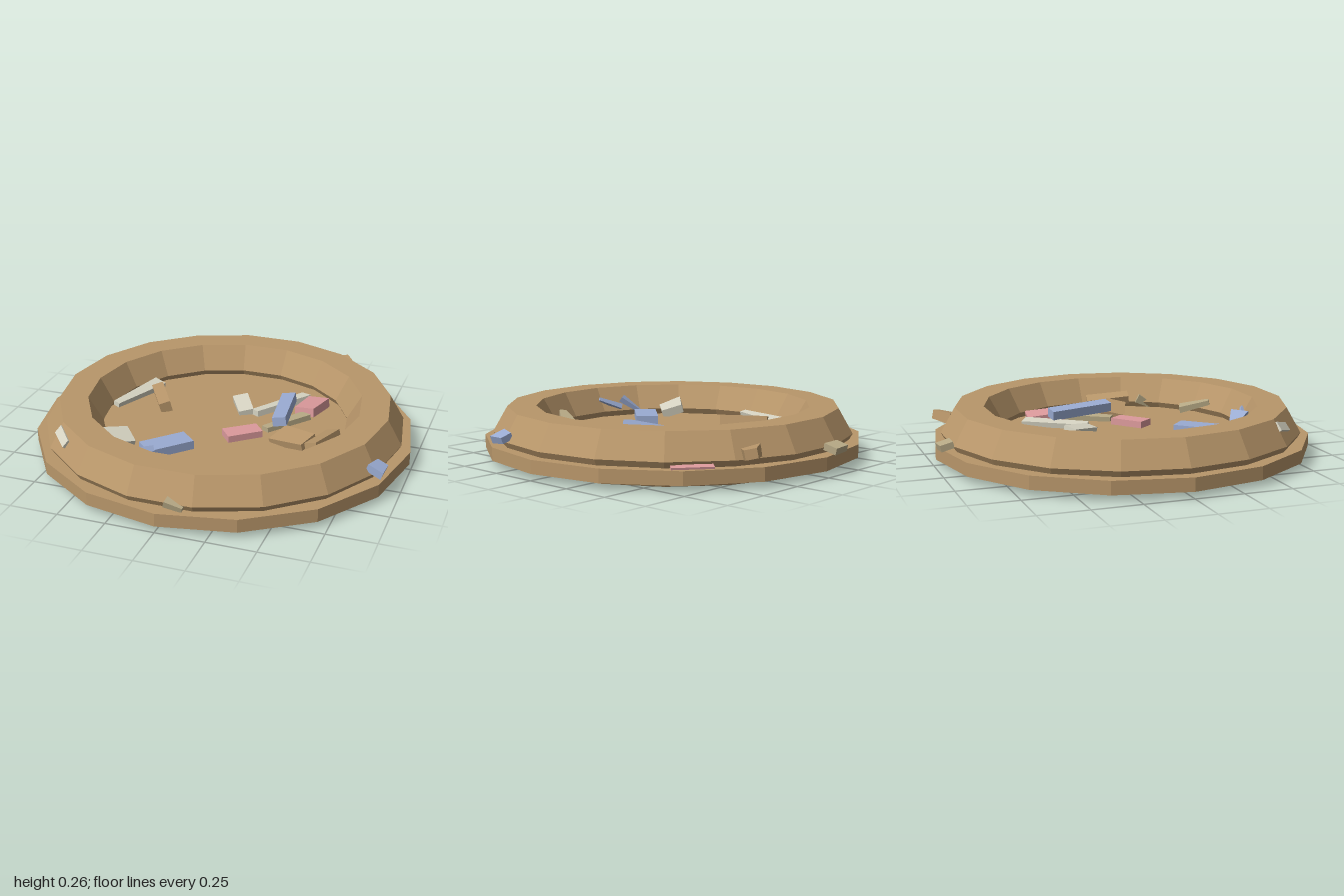
import * as THREE from 'three';

export function createModel() {
  const model = new THREE.Group();
  model.name = 'debrisRing';

  const mat = (name, color) => {
    const m = new THREE.MeshStandardMaterial({ color });
    m.name = name;
    m.flatShading = true;
    return m;
  };
  const brown = mat('brown', 0xb8966a);
  const blue = mat('blue', 0x9aabd2);
  const pink = mat('pink', 0xdc9a9c);
  const cream = mat('cream', 0xd6d3c2);
  const tan = mat('tan', 0xb8aa86);

  const add = (name, geometry, material, x, y, z) => {
    const mesh = new THREE.Mesh(geometry, material);
    mesh.name = name;
    mesh.position.set(x, y, z);
    model.add(mesh);
    return mesh;
  };

  // Floor disc, wider than the raised rim
  add('floorDisc', new THREE.CylinderGeometry(0.992, 0.992, 0.068, 16), brown, 0, 0.065, 0.004);

  // Hexagonal-section rim
  const rim = new THREE.TorusGeometry(0.795, 0.15, 6, 18);
  rim.rotateX(Math.PI / 2);
  add('rim', rim, brown, 0, 0.13, 0.004);

  // Splinter: a box along x whose +x end is narrowed by "taper"
  const splinter = (name, material, [x, y, z], [len, h, w], [dx, dz], pitch = 0, roll = 0, taper = 0.85) => {
    const g = new THREE.BoxGeometry(len, h, w);
    const p = g.attributes.position;
    for (let i = 0; i < p.count; i++) {
      if (p.getX(i) > 0) p.setXYZ(i, p.getX(i), p.getY(i) * (0.5 + taper / 2), p.getZ(i) * taper);
    }
    const mesh = add(name, g, material, x, y, z);
    mesh.rotation.set(roll, Math.atan2(-dz, dx), pitch, 'YZX');
  };

  // Pieces scattered over the floor
  splinter('creamPlank', cream, [-0.56, 0.13, -0.14], [0.36, 0.035, 0.075], [-22, 63], 0, -0.2, 0.5);
  splinter('brownBlock', brown, [-0.42, 0.125, -0.14], [0.26, 0.06, 0.065], [25, 42], 0, 0.25, 0.95);
  splinter('creamChip', cream, [0.03, 0.115, -0.21], [0.17, 0.045, 0.085], [16, 28], -0.1, 0.15, 0.95);
  splinter('creamLongPlank', cream, [0.22, 0.115, -0.29], [0.36, 0.035, 0.07], [-35, 50], 0, 0.15, 0.8);
  splinter('pinkBlock', pink, [0.39, 0.125, -0.30], [0.2, 0.05, 0.12], [-5, 34], 0.1, 0.1, 0.9);
  splinter('bluePlank', blue, [0.285, 0.17, -0.13], [0.35, 0.05, 0.075], [9, 66], 0.05, 0.15, 0.95);
  splinter('tanPlank', tan, [0.31, 0.12, -0.08], [0.28, 0.03, 0.07], [-28, 40], 0, 0.1, 0.7);
  splinter('pinkChip', pink, [0.13, 0.115, 0.11], [0.19, 0.04, 0.1], [26, -21], 0, 0, 0.95);
  splinter('brownSlab', brown, [0.405, 0.13, 0.11], [0.21, 0.04, 0.14], [36, 17], 0.15, 0.2, 0.8);
  splinter('brownPlank', brown, [0.565, 0.155, 0.13], [0.24, 0.05, 0.075], [-11, 43], 0.1, 0.3, 0.9);
  splinter('tanSpike', tan, [0.55, 0.13, 0.35], [0.09, 0.05, 0.04], [-4, 14], -0.5, 0, 0.2);
  splinter('paleChip', cream, [-0.44, 0.14, 0.42], [0.15, 0.05, 0.13], [20, -22], -0.15, 0.3, 0.9);
  splinter('blueSlab', blue, [-0.185, 0.12, 0.38], [0.25, 0.05, 0.12], [32, -34], 0, 0, 1);

  // Pieces leaning on the inner wall
  splinter('blueSpike', blue, [-0.245, 0.165, 0.56], [0.13, 0.03, 0.1], [-14, -18], -0.6, 0, 0.25);
  splinter('blueSliver', blue, [-0.155, 0.175, 0.64], [0.14, 0.03, 0.04], [24, 10], 0.4, 0.5, 0.25);
  splinter('tanChip', tan, [0.27, 0.15, 0.55], [0.17, 0.035, 0.08], [-14, 26], 0.25, 0.1, 0.5);

  // Pieces outside the rim
  splinter('creamShard', cream, [-0.64, 0.21, 0.625], [0.13, 0.02, 0.05], [18, 20], -0.2, 0.9, 0.9);
  splinter('tanShard', tan, [0.075, 0.125, 0.935], [0.09, 0.035, 0.05], [1, 0], -0.3, 0.2, 0.5);
  splinter('blueShard', blue, [0.895, 0.155, 0.325], [0.09, 0.04, 0.085], [3, -15], 0, 0.35, 0.7);
  splinter('pinkShard', pink, [0.63, 0.1, -0.69], [0.2, 0.03, 0.05], [30, 22], 0, -0.2, 0.6);
  splinter('brownShard', brown, [0.405, 0.16, -0.85], [0.13, 0.06, 0.1], [17, -14], 0.1, 0.2, 0.6);
  splinter('tanOuterChip', tan, [-0.112, 0.128, -0.96], [0.1, 0.035, 0.075], [-1, 0], 0.05, 0.25, 0.9);

  return model;
}
